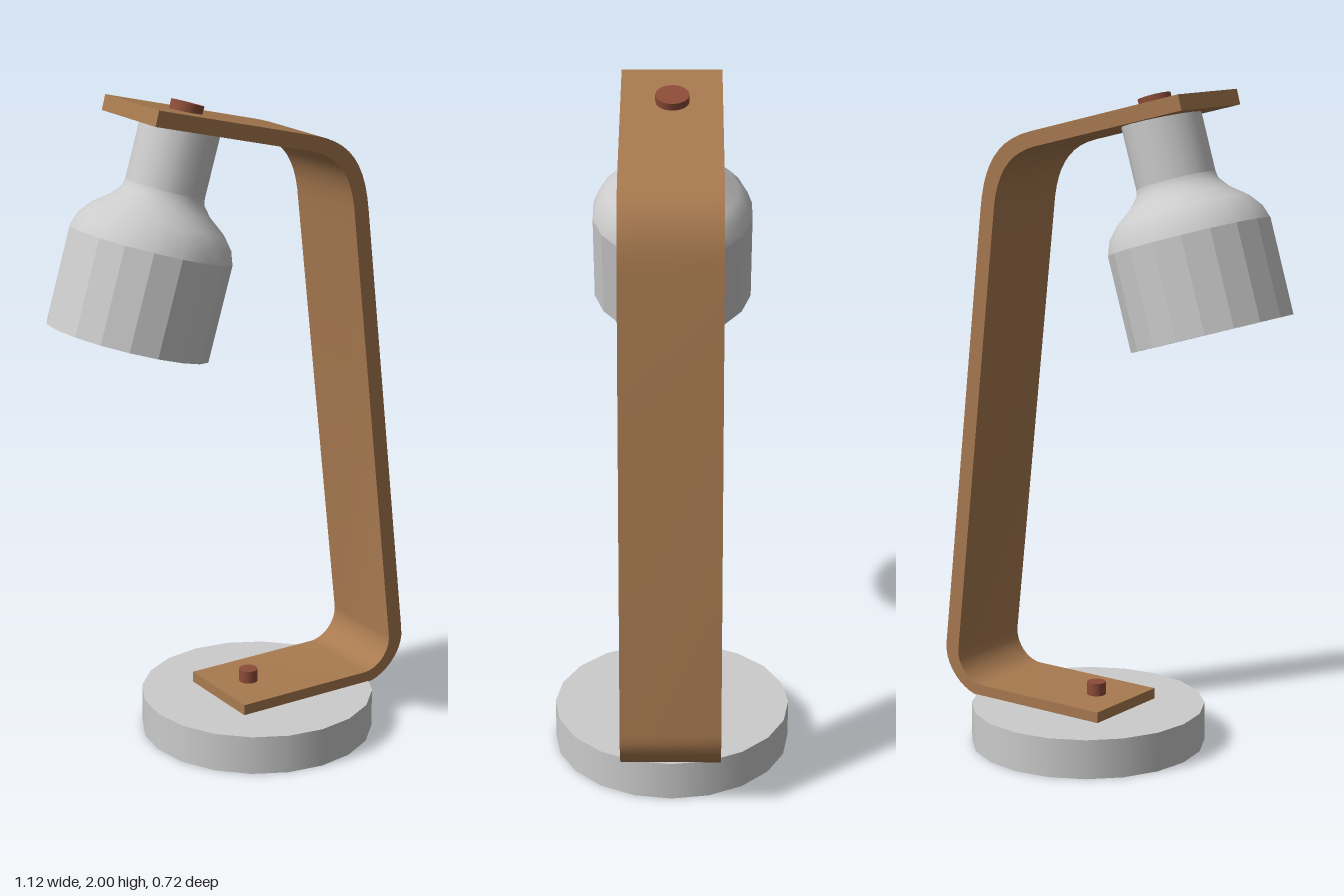
import * as THREE from 'three';
import { toCreasedNormals } from 'three/addons/utils/BufferGeometryUtils.js';

const grey = (options = {}) => new THREE.MeshStandardMaterial({ color: 0xcccccc, ...options });
const wood = new THREE.MeshStandardMaterial({ color: 0xa87a50 });
const copper = new THREE.MeshStandardMaterial({ color: 0x8c4c38 });

function add(parent, name, geometry, material, x = 0, y = 0, z = 0) {
  const mesh = new THREE.Mesh(geometry, material);
  mesh.name = name;
  mesh.position.set(x, y, z);
  parent.add(mesh);
  return mesh;
}

// Lathe from [radius, height] pairs, with a vertex on +x
function lathe(pairs, sides) {
  const points = pairs.map(([r, y]) => new THREE.Vector2(r, y));
  return new THREE.LatheGeometry(points, sides, Math.PI / 2);
}

// Bent strap: side outline, extruded across its width
function strapGeometry() {
  const s = new THREE.Shape();
  s.moveTo(-0.03, 0.119);
  s.lineTo(0.43, 0.117);
  s.bezierCurveTo(0.49, 0.12, 0.57, 0.19, 0.558, 0.27);
  s.lineTo(0.4, 1.635);
  s.bezierCurveTo(0.385, 1.77, 0.335, 1.842, 0.21, 1.873);
  s.lineTo(-0.313, 2);
  s.lineTo(-0.325, 1.956);
  s.lineTo(0.193, 1.83);
  s.bezierCurveTo(0.3, 1.803, 0.342, 1.735, 0.352, 1.614);
  s.lineTo(0.511, 0.249);
  s.bezierCurveTo(0.512, 0.2, 0.47, 0.155, 0.42, 0.153);
  s.lineTo(-0.03, 0.153);
  s.closePath();
  const width = 0.294;
  const g = new THREE.ExtrudeGeometry(s, { depth: width, bevelEnabled: false, curveSegments: 10 });
  g.translate(0, 0, -width / 2 + 0.002);
  return toCreasedNormals(g, 0.5);
}

export function createModel() {
  const lamp = new THREE.Group();
  lamp.name = 'deskLamp';

  // Round foot and the strap standing on it
  add(lamp, 'base', new THREE.CylinderGeometry(0.358, 0.358, 0.12, 20), grey(), 0.114, 0.06, 0);
  add(lamp, 'strap', strapGeometry(), wood);
  add(lamp, 'baseScrew', new THREE.CylinderGeometry(0.029, 0.029, 0.06, 16), copper, 0.082, 0.162, 0);

  // Lamp head, tilted as a whole; its origin is the centre of the open rim
  const head = new THREE.Group();
  head.name = 'lampHead';
  head.position.set(-0.336, 1.312, 0);
  head.rotation.z = -0.293;
  lamp.add(head);

  const sides = 18;
  const dome = [[0.24, 0.285], [0.226, 0.325], [0.196, 0.362], [0.146, 0.4], [0.121, 0.43], [0.117, 0.45]];
  add(head, 'shadeBody', lathe([[0.228, 0], [0.24, 0], [0.24, 0.285]], sides), grey({ flatShading: true }));
  add(head, 'shadeDome', lathe(dome, sides), grey());
  add(head, 'neck', new THREE.CylinderGeometry(0.117, 0.117, 0.185, sides, 1, false, Math.PI / 2), grey(), 0, 0.5425, 0);

  // Inside wall, a little smaller than the outside
  const inside = [[0, 0.44], [0.108, 0.44], ...dome.slice(0, 4).reverse().map(([r, y]) => [r - 0.012, y - 0.008]), [0.228, 0]];
  add(head, 'shadeInside', lathe(inside, sides), grey({ flatShading: true }));
  add(head, 'headScrew', new THREE.CylinderGeometry(0.049, 0.049, 0.06, 16), copper, 0.006, 0.67, 0);

  return lamp;
}
